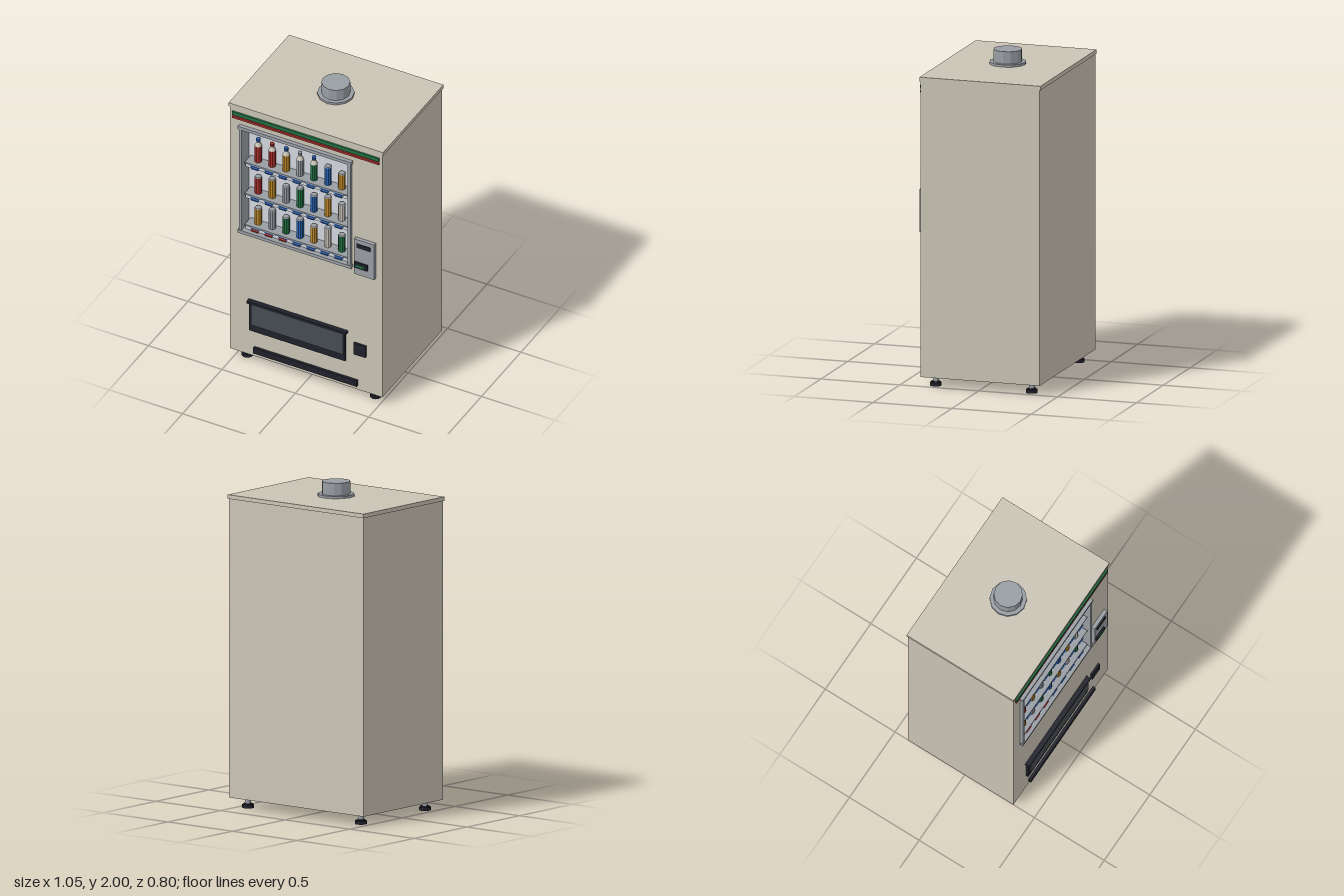
import * as THREE from 'three';

const mat = (name, color, flat = false) => {
  const m = new THREE.MeshStandardMaterial({ color, flatShading: flat });
  m.name = name;
  return m;
};

export function createModel() {
  const root = new THREE.Group();
  root.name = 'vendingMachine';
  const M = {
    beige: mat('cabinetBeige', 0xcac4b5),
    grey: mat('metalGrey', 0x999ea4, true),
    pale: mat('panelPale', 0xd3d7df),
    black: mat('trimBlack', 0x20202b, true),
    smoke: mat('flapSmoke', 0x464d51),
    red: mat('red', 0xb0302c, true),
    green: mat('green', 0x217043, true),
    amber: mat('amber', 0xc08a2a, true),
    blue: mat('blue', 0x2860b0, true),
    cream: mat('cream', 0xc9c5ba, true),
  };
  const add = (name, geo, m, x = 0, y = 0, z = 0, parent = root) => {
    const mesh = new THREE.Mesh(geo, m);
    mesh.name = name;
    mesh.position.set(x, y, z);
    parent.add(mesh);
    return mesh;
  };
  // Box given by its limits on each axis
  const box = (name, m, x0, x1, y0, y1, z0, z1, parent = root) =>
    add(name, new THREE.BoxGeometry(x1 - x0, y1 - y0, z1 - z0), m,
      (x0 + x1) / 2, (y0 + y1) / 2, (z0 + z1) / 2, parent);
  // Upright cylinder standing on y0
  const cyl = (name, m, r, y0, y1, x, z, sides = 12, rTop = r, parent = root) =>
    add(name, new THREE.CylinderGeometry(rTop, r, y1 - y0, sides), m, x, (y0 + y1) / 2, z, parent);

  // Cabinet: solid rear, front slab with window opening, lid
  const BACK = 0.282, FRONT = 0.362;
  box('cabinetBody', M.beige, -0.52, 0.52, 0.063, 1.89, -0.393, BACK);
  const rect = (P, x0, x1, y0, y1) => {
    const p = new P();
    p.moveTo(x0, y0); p.lineTo(x1, y0); p.lineTo(x1, y1); p.lineTo(x0, y1); p.closePath();
    return p;
  };
  const slab = rect(THREE.Shape, -0.52, 0.52, 0.063, 1.89);
  slab.holes.push(rect(THREE.Path, -0.44, 0.304, 0.985, 1.76));
  add('cabinetFront', new THREE.ExtrudeGeometry(slab, { depth: FRONT - BACK, bevelEnabled: false }),
    M.beige, 0, 0, BACK);
  box('lid', M.beige, -0.526, 0.526, 1.885, 1.91, -0.4, 0.367);

  // Roof vent
  cyl('ventFlange', M.grey, 0.112, 1.909, 1.924, 0, -0.015);
  cyl('ventPipe', M.grey, 0.087, 1.92, 2.0, 0, -0.015);

  // Levelling feet
  for (const x of [-0.437, 0.437]) for (const z of [0.293, -0.315]) {
    cyl('footPad', M.black, 0.036, 0, 0.02, x, z);
    cyl('footNut', M.black, 0.028, 0.018, 0.028, x, z, 6);
    cyl('footStem', M.grey, 0.018, 0.02, 0.065, x, z);
  }

  // Header stripes
  box('greenStripe', M.green, -0.5, 0.5, 1.833, 1.857, 0.36, 0.373);
  box('redStripe', M.red, -0.5, 0.5, 1.81, 1.823, 0.36, 0.373);

  // Display window: back panel and deep frame
  box('displayBack', M.pale, -0.44, 0.304, 0.985, 1.76, BACK, BACK + 0.004);
  const frame = new THREE.Group();
  frame.name = 'windowFrame';
  root.add(frame);
  box('frameTop', M.grey, -0.454, 0.318, 1.75, 1.772, BACK, 0.387, frame);
  box('frameBottom', M.grey, -0.454, 0.318, 0.972, 0.994, BACK, 0.387, frame);
  box('frameSide', M.grey, -0.448, -0.43, 0.994, 1.75, BACK, 0.383, frame);
  box('frameSide', M.grey, 0.293, 0.312, 0.994, 1.75, BACK, 0.383, frame);

  // Drinks
  const PZ = 0.316, R = 0.0225;
  const bottle = (body, cap, x, y) => {
    const g = new THREE.Group();
    g.name = 'bottle';
    g.position.set(x, y, PZ);
    root.add(g);
    cyl('bottleBody', body, R, 0, 0.118, 0, 0, 10, R, g);
    cyl('bottleShoulder', M.cream, R, 0.118, 0.142, 0, 0, 10, 0.011, g);
    cyl('bottleNeck', M.cream, 0.011, 0.142, 0.15, 0, 0, 10, 0.011, g);
    cyl('bottleCap', cap, 0.013, 0.15, 0.168, 0, 0, 10, 0.013, g);
  };
  const can = (body, h, x, y) => {
    const g = new THREE.Group();
    g.name = 'can';
    g.position.set(x, y, PZ);
    root.add(g);
    cyl('canBody', body, R, 0, h - 0.006, 0, 0, 10, R, g);
    cyl('canTop', M.grey, R, h - 0.006, h, 0, 0, 10, 0.019, g);
  };
  const { red, green, amber, blue, grey, cream } = M;
  const rows = [
    { y: 1.5, drinks: [[red, blue], [red, red], [amber, blue], [grey, grey], [green, blue], [blue, 0.135], [amber, 0.117]], reds: 0 },
    { y: 1.265, drinks: [[red, 0.121], [amber, 0.14], [grey, 0.121], [green, 0.14], [blue, 0.121], [amber, 0.14], [cream, 0.121]], reds: 0 },
    { y: 1.032, drinks: [[amber, 0.121], [grey, 0.14], [green, 0.121], [blue, 0.14], [amber, 0.121], [cream, 0.14], [green, 0.121]], reds: 3 },
  ];

  // Shelves with label rails and selection buttons
  for (const { y, drinks, reds } of rows) {
    box('shelf', M.grey, -0.418, 0.288, y - 0.01, y, BACK, 0.364);
    box('labelRail', M.pale, -0.418, 0.288, y - 0.038, y - 0.01, 0.345, 0.355);
    drinks.forEach(([body, spec], i) => {
      const x = -0.351 + 0.095 * i;
      if (typeof spec === 'number') can(body, spec, x, y);
      else bottle(body, spec, x, y);
      box('priceTag', M.blue, x - 0.034, x + 0.034, y - 0.021, y - 0.011, 0.354, 0.359);
      const b = box('button', i < reds ? M.red : M.blue, x - 0.024, x + 0.024, y - 0.036, y - 0.022, 0.35, 0.366);
      b.rotation.x = 0.4;
    });
  }

  // Payment panel
  box('paymentPanel', M.grey, 0.338, 0.476, 0.945, 1.207, 0.36, 0.385);
  box('paymentDisplay', M.black, 0.358, 0.45, 1.15, 1.178, 0.38, 0.391);
  box('noteSlot', M.black, 0.343, 0.432, 1.0, 1.042, 0.38, 0.396);
  box('noteSlotLight', M.green, 0.358, 0.414, 1.013, 1.029, 0.394, 0.4);

  // Pick-up door
  box('doorFrame', M.black, -0.382, 0.273, 0.257, 0.47, 0.36, 0.378);
  box('doorFlap', M.smoke, -0.362, 0.265, 0.308, 0.462, 0.37, 0.386);
  box('doorLip', M.black, -0.39, 0.284, 0.464, 0.482, 0.36, 0.392);

  // Change cup and lower grille
  box('changeCup', M.black, 0.328, 0.41, 0.328, 0.413, 0.36, 0.375);
  box('lowerGrille', M.black, -0.353, 0.353, 0.093, 0.136, 0.36, 0.379);

  return root;
}
